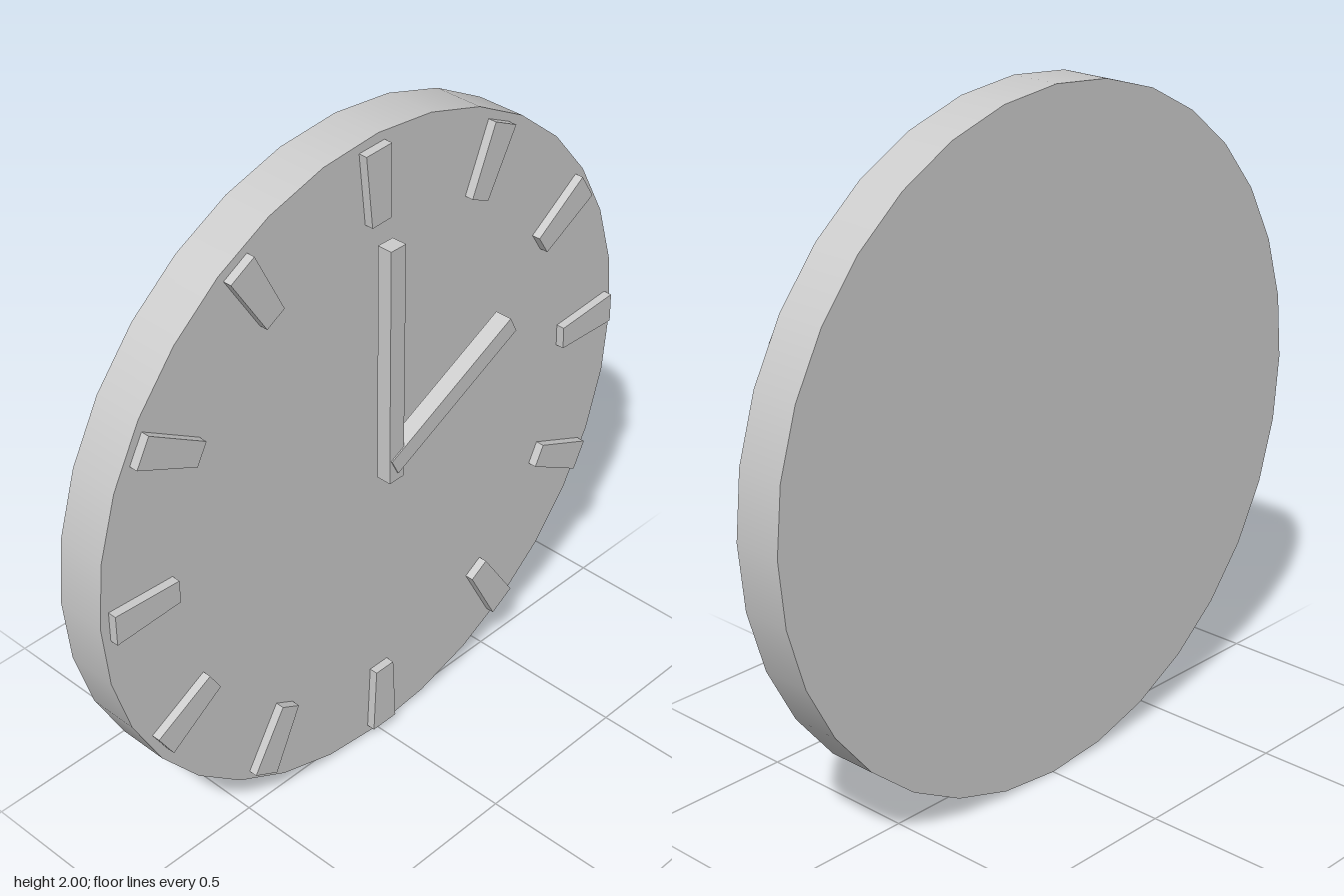
import * as THREE from 'three';

const material = new THREE.MeshStandardMaterial({ color: 0xcccccc });
const CENTER_Y = 1;

function addMesh(parent, name, geometry) {
  const mesh = new THREE.Mesh(geometry, material);
  mesh.name = name;
  parent.add(mesh);
  return mesh;
}

// Tapered block, long axis along y, wide end outward, back face at z = 0
function markerGeometry(length, outerWidth, innerWidth, depth) {
  const h = length / 2, o = outerWidth / 2, i = innerWidth / 2;
  const shape = new THREE.Shape([
    new THREE.Vector2(-i, -h), new THREE.Vector2(i, -h),
    new THREE.Vector2(o, h), new THREE.Vector2(-o, h),
  ]);
  return new THREE.ExtrudeGeometry(shape, { depth, bevelEnabled: false });
}

// Square-section hand running from one point of the face to another
function addHand(parent, name, from, to, width, z0, z1) {
  const a = new THREE.Vector2(...from), b = new THREE.Vector2(...to);
  const hand = addMesh(parent, name, new THREE.BoxGeometry(a.distanceTo(b), width, z1 - z0));
  hand.position.set((a.x + b.x) / 2, (a.y + b.y) / 2, (z0 + z1) / 2);
  hand.rotation.z = b.sub(a).angle();
}

export function createModel() {
  const clock = new THREE.Group();
  clock.name = 'wallClock';

  // Round body
  const disc = new THREE.CylinderGeometry(1, 1, 0.15, 32);
  disc.rotateX(Math.PI / 2);
  addMesh(clock, 'clockBody', disc).position.set(0, CENTER_Y, -0.045);

  // Hour markers, clockwise from the top; slightly uneven, as if set by hand
  const placeOffset = [-1.2, -1.4, -1.9, -2.5, -2.8, -3, -0.4, -0.3, -0.5, -0.6, -0.6, -1.1];
  const tiltOffset = [-2.9, -4, -1.8, -1.5, -3, -1.2, 0, -1.8, -1.3, 0, -1.4, 0.5];
  const markers = new THREE.Group();
  markers.name = 'hourMarkers';
  const marker = markerGeometry(0.215, 0.092, 0.07, 0.027);
  for (let k = 0; k < 12; k++) {
    const place = THREE.MathUtils.degToRad(30 * k + placeOffset[k]);
    const mesh = addMesh(markers, `hourMarker${k || 12}`, marker);
    mesh.position.set(0.863 * Math.sin(place), CENTER_Y + 0.863 * Math.cos(place), 0.029);
    mesh.rotation.z = -THREE.MathUtils.degToRad(30 * k + tiltOffset[k]);
  }
  clock.add(markers);

  // Hands, floating just ahead of the face
  addHand(clock, 'minuteHand', [-0.012, 0.97], [-0.012, 1.705], 0.055, 0.067, 0.113);
  addHand(clock, 'hourHand', [-0.022, 1.018], [0.452, 1.255], 0.056, 0.064, 0.117);

  return clock;
}
